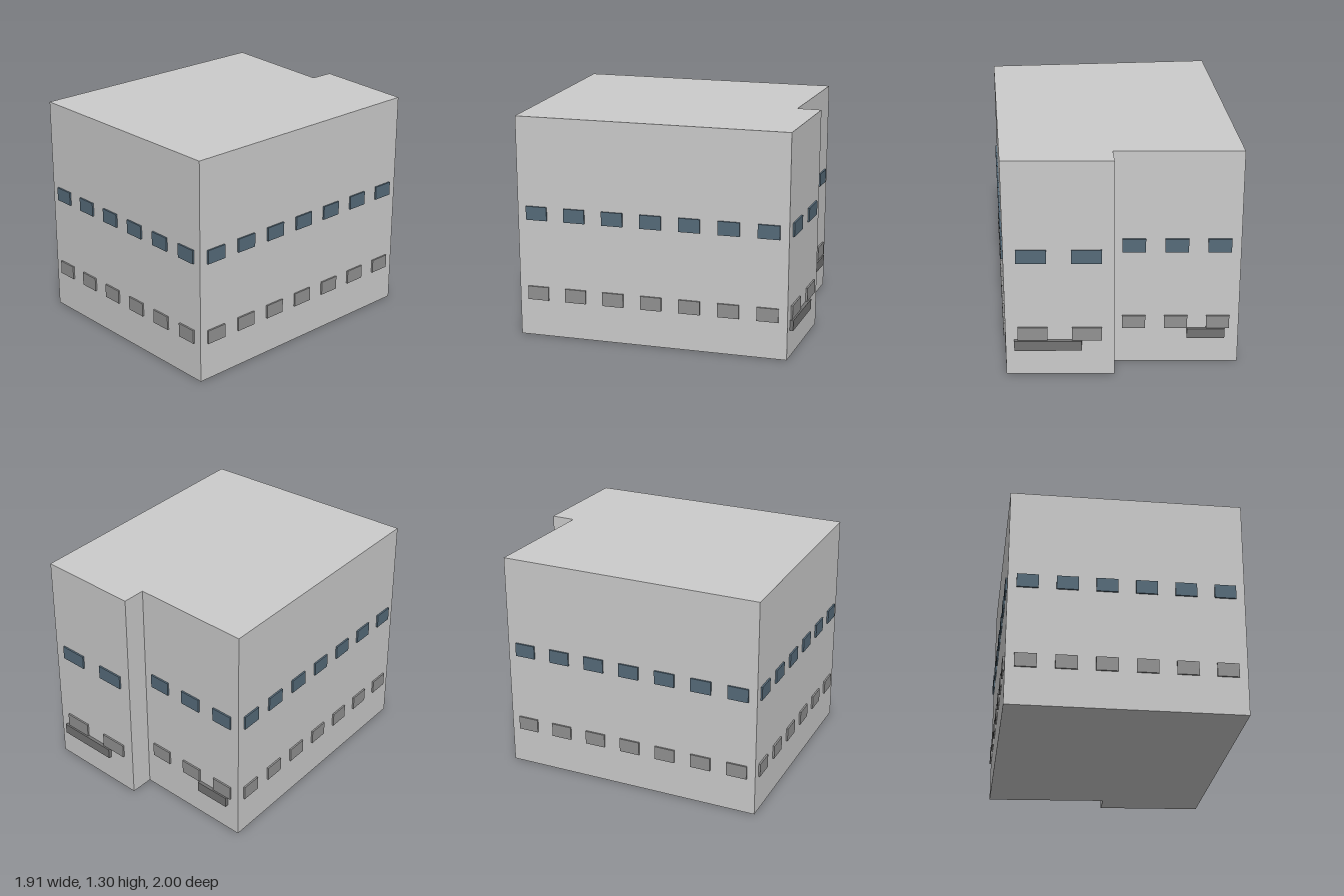
import * as THREE from 'three';

const HEIGHT = 1.3;
// Each wall starts at its corner and runs to the next one, anticlockwise from above.
// awning: start and end along the wall, as fractions of its length
const WALLS = [
  { name: 'frontWall', x: -0.955, z: 0.35, windows: 6 },
  { name: 'leftWall', x: 0.2, z: 1, windows: 7 },
  { name: 'backWallProjecting', x: 0.955, z: -0.38, windows: 2, awning: [0.08, 0.7] },
  { name: 'stepWall', x: 0.45, z: -0.72, windows: 0 },
  { name: 'backWallRecessed', x: 0.38, z: -0.6, windows: 3, awning: [0.59, 0.89] },
  { name: 'rightWall', x: -0.21, z: -1, windows: 7 },
];

const wallMaterial = new THREE.MeshStandardMaterial({ color: 0xcccccc });
const glassMaterial = new THREE.MeshStandardMaterial({ color: 0x566b7a });
const panelMaterial = new THREE.MeshStandardMaterial({ color: 0x929292 });
const awningMaterial = new THREE.MeshStandardMaterial({ color: 0x747474 });

// Box standing proud of a wall by the given depth, in the wall's own axes
function wallBox(name, material, x, y, width, height, depth) {
  const sunk = 0.01;
  const mesh = new THREE.Mesh(new THREE.BoxGeometry(width, height, depth + sunk), material);
  mesh.name = name;
  mesh.position.set(x, y, (depth - sunk) / 2);
  return mesh;
}

// Two rows of windows and an optional low awning for one wall
function wallDetails(wall, next) {
  const dx = next.x - wall.x, dz = next.z - wall.z;
  const length = Math.hypot(dx, dz);
  const group = new THREE.Group();
  group.name = wall.name + 'Details';
  group.position.set(wall.x, 0, wall.z);
  group.rotation.y = -Math.atan2(dz, dx);

  const spacing = length / wall.windows;
  for (let i = 0; i < wall.windows; i++) {
    const x = (i + 0.5) * spacing;
    group.add(wallBox('lowerWindow', panelMaterial, x, 0.26, spacing * 0.55, 0.08, 0.01));
    group.add(wallBox('upperWindow', glassMaterial, x, 0.74, spacing * 0.55, 0.08, 0.01));
  }
  if (wall.awning) {
    const [a, b] = wall.awning;
    group.add(wallBox('awning', awningMaterial, length * (a + b) / 2, 0.19, length * (b - a), 0.06, 0.02));
  }
  return group;
}

export function createModel() {
  const model = new THREE.Group();
  model.name = 'building';

  // Main block
  const footprint = new THREE.Shape(WALLS.map((w) => new THREE.Vector2(w.x, -w.z)));
  const block = new THREE.ExtrudeGeometry(footprint, { depth: HEIGHT, bevelEnabled: false });
  block.rotateX(-Math.PI / 2);
  const body = new THREE.Mesh(block, wallMaterial);
  body.name = 'buildingBody';
  model.add(body);

  // Windows and awnings
  WALLS.forEach((wall, i) => model.add(wallDetails(wall, WALLS[(i + 1) % WALLS.length])));
  return model;
}
